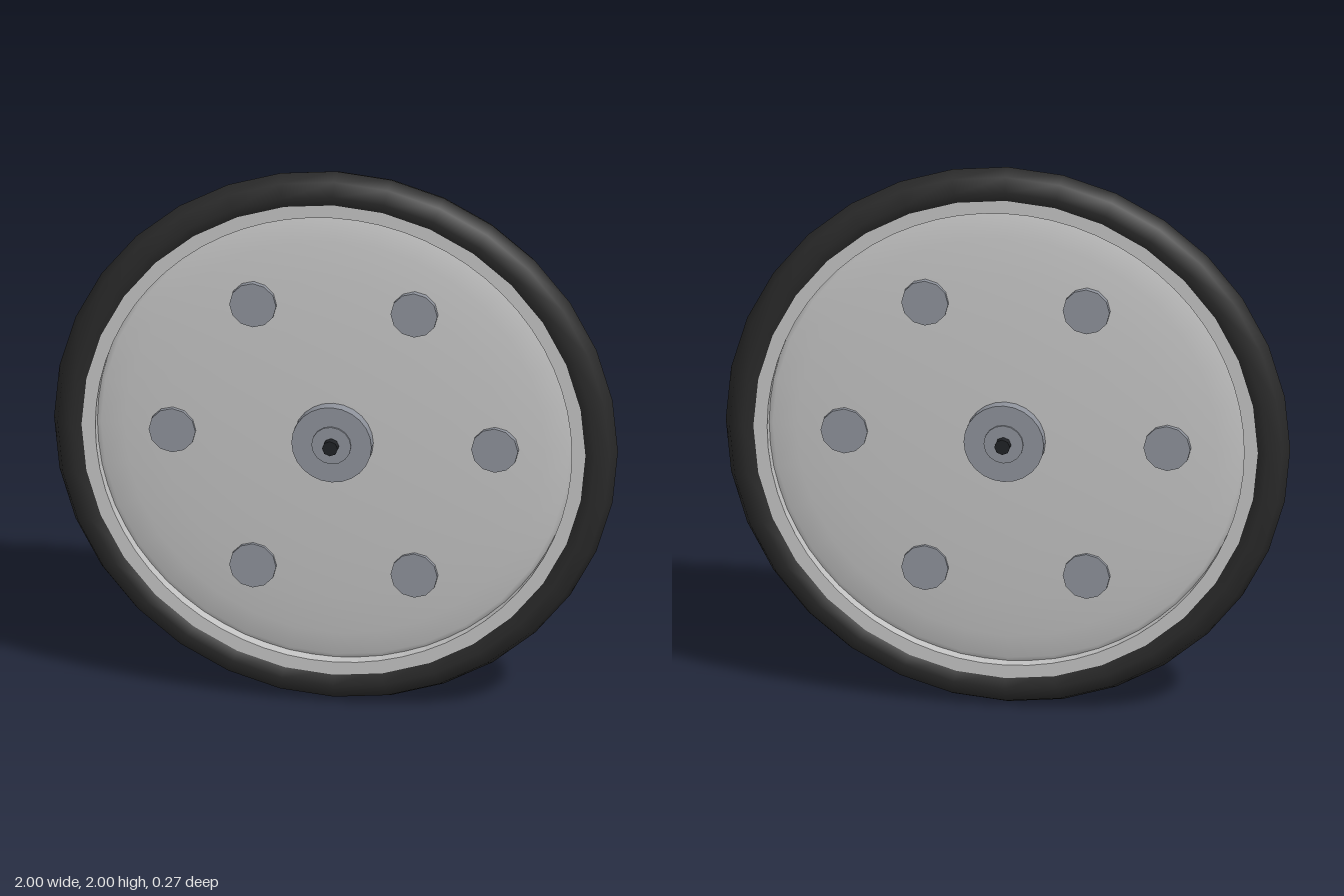
import * as THREE from 'three';

const SIDES = 32;

export function createModel() {
  const group = new THREE.Group();
  group.name = 'wheel';

  const paint = (name, hex) => {
    const m = new THREE.MeshStandardMaterial({ color: hex });
    m.name = name;
    return m;
  };
  const rubber = paint('black rubber', 0x2a2a2a);
  const silver = paint('silver', 0xc4c4c4);
  const steel = paint('grey steel', 0x8f939c);
  const dark = paint('dark steel', 0x202226);

  const add = (name, geometry, material, x = 0, y = 0) => {
    const mesh = new THREE.Mesh(geometry, material);
    mesh.name = name;
    mesh.position.set(x, y + 1, 0); // wheel centre sits one unit up
    group.add(mesh);
  };

  // Cylinder lying along z, running through the wheel to both sides
  const disc = (radius, halfDepth, sides) =>
    new THREE.CylinderGeometry(radius, radius, halfDepth * 2, sides).rotateX(Math.PI / 2);

  // Tyre
  add('tyre', new THREE.TorusGeometry(0.93, 0.07, 8, SIDES), rubber);

  // Rim ring
  const ring = new THREE.Shape().absarc(0, 0, 0.9, 0, Math.PI * 2);
  ring.holes.push(new THREE.Path().absarc(0, 0, 0.845, 0, Math.PI * 2, true));
  const rim = new THREE.ExtrudeGeometry(ring, {
    depth: 0.11, bevelEnabled: false, curveSegments: SIDES,
  }).translate(0, 0, -0.055);
  add('rim', rim, silver);

  // Wheel disc, gently domed on both sides
  const dome = new THREE.SphereGeometry(1, SIDES, 12).scale(0.86, 0.06, 0.86).rotateX(Math.PI / 2);
  add('wheelDisc', dome, silver);

  // Six bolts through the disc
  for (let i = 0; i < 6; i++) {
    const a = (i * Math.PI) / 3;
    add('bolt', disc(0.083, 0.06, 12), steel, 0.572 * Math.cos(a), 0.572 * Math.sin(a));
  }

  // Hub, washer and axle
  add('hub', disc(0.142, 0.1, 24), steel);
  add('washer', disc(0.07, 0.107, 16), steel);
  add('axle', disc(0.028, 0.135, 8), dark);

  return group;
}
